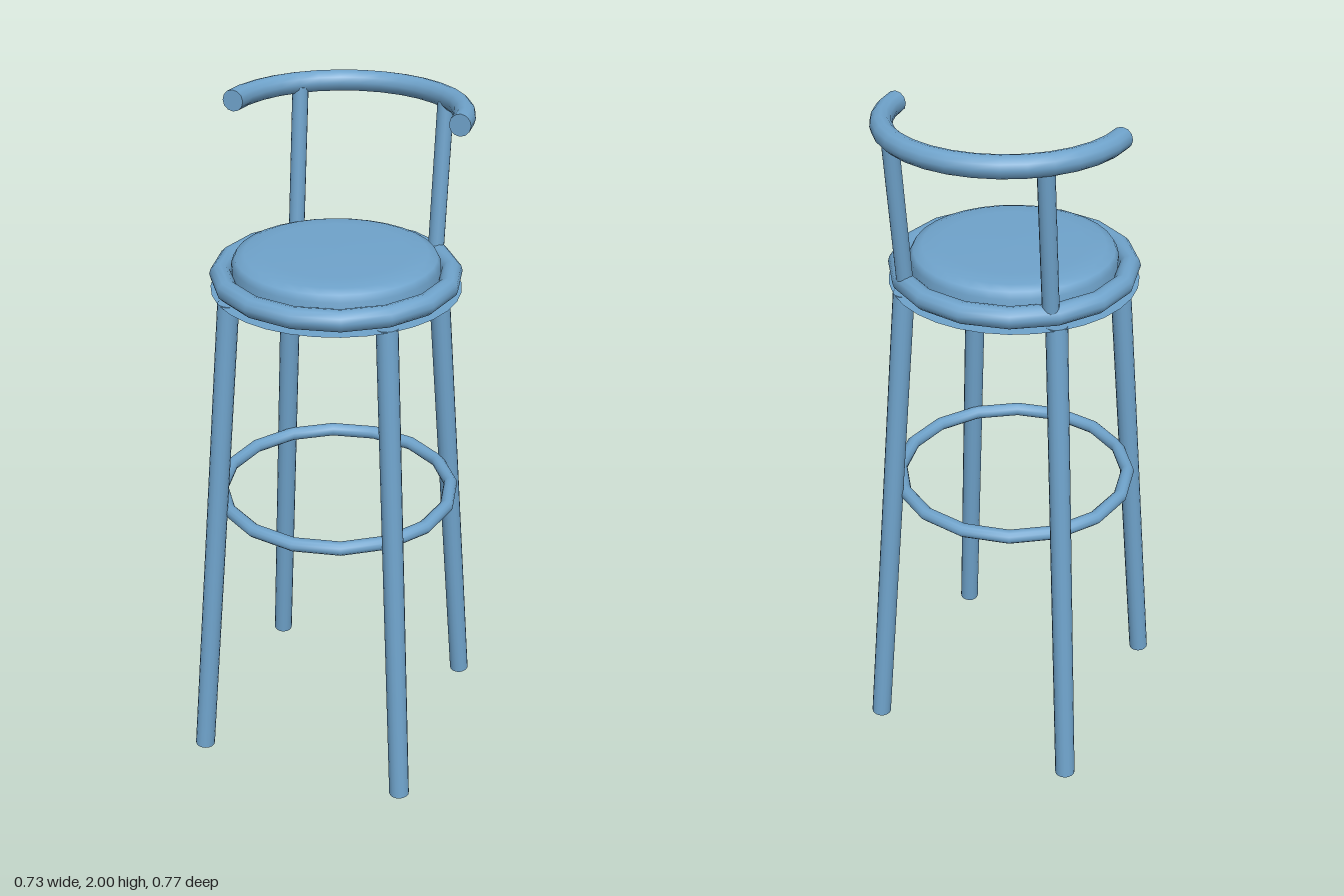
import * as THREE from 'three';

const CZ = 0.02; // seat and leg axis

export function createModel() {
  const stool = new THREE.Group();
  stool.name = 'barStool';
  const paint = new THREE.MeshStandardMaterial({ color: 0x6fa3cb });
  const thin = new THREE.MeshStandardMaterial({ color: 0x6fa3cb, side: THREE.DoubleSide });

  const add = (name, geometry, material = paint) => {
    const mesh = new THREE.Mesh(geometry, material);
    mesh.name = name;
    stool.add(mesh);
    return mesh;
  };

  // Straight round bar between two points
  const bar = (name, from, to, radius) => {
    const a = new THREE.Vector3(...from), b = new THREE.Vector3(...to);
    const dir = b.clone().sub(a);
    const mesh = add(name, new THREE.CylinderGeometry(radius, radius, dir.length(), 16));
    mesh.position.copy(a).add(b).multiplyScalar(0.5);
    mesh.quaternion.setFromUnitVectors(new THREE.Vector3(0, 1, 0), dir.normalize());
  };

  // Horizontal hoop
  const hoop = (name, radius, tube, y) =>
    add(name, new THREE.TorusGeometry(radius, tube, 12, 16).rotateX(-Math.PI / 2)).position.set(0, y, CZ);

  // Splayed legs and back posts
  for (const sx of [1, -1]) {
    const side = sx > 0 ? 'left' : 'right';
    for (const sz of [1, -1]) {
      bar(`${side}${sz > 0 ? 'Front' : 'Back'}Leg`,
        [sx * 0.325, 0.002, CZ + sz * 0.325], [sx * 0.227, 1.5, CZ + sz * 0.227], 0.03);
    }
    bar(`${side}BackPost`, [sx * 0.215, 1.54, -0.219], [sx * 0.215, 1.96, -0.265], 0.023);
  }

  hoop('footRing', 0.345, 0.02, 0.845);
  hoop('seatRing', 0.322, 0.03, 1.535);

  // Flat annular plate under the seat
  add('seatPlate', new THREE.RingGeometry(0.25, 0.35, 32, 1).rotateX(-Math.PI / 2), thin)
    .position.set(0, 1.5, CZ);

  // Cushion: a hollow shell with a softly rounded rim
  const profile = [[0.292, 1.53], [0.29, 1.57], [0.28, 1.588], [0.255, 1.597], [0.2, 1.602], [0, 1.603]]
    .map(([r, y]) => new THREE.Vector2(r, y));
  add('cushion', new THREE.LatheGeometry(profile, 32), thin).position.z = CZ;

  // Half-round back rail with closed ends
  const rail = { r: 0.322, tube: 0.03, y: 1.97, z: -0.035 };
  add('backRail', new THREE.TorusGeometry(rail.r, rail.tube, 12, 16, Math.PI).rotateX(-Math.PI / 2))
    .position.set(0, rail.y, rail.z);
  for (const sx of [1, -1]) {
    add('backRailEnd', new THREE.CircleGeometry(rail.tube, 12)).position.set(sx * rail.r, rail.y, rail.z);
  }

  return stool;
}
